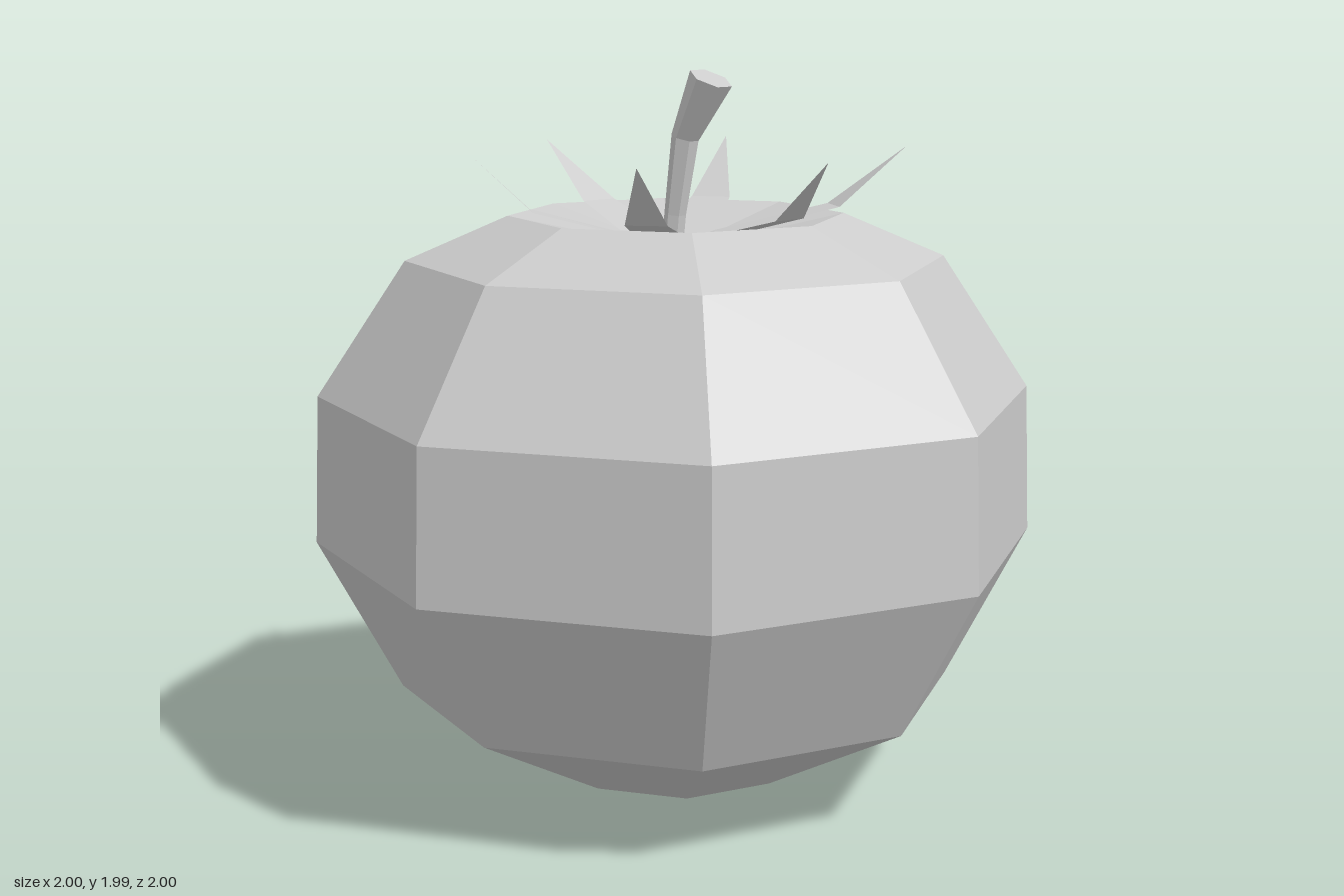
import * as THREE from 'three';

const material = new THREE.MeshStandardMaterial({ color: 0xcccccc, flatShading: true });
const leafMaterial = new THREE.MeshStandardMaterial({ color: 0xcccccc, flatShading: true, side: THREE.DoubleSide });

function makeMesh(name, triangles, mat) {
  const geometry = new THREE.BufferGeometry().setFromPoints(triangles);
  geometry.computeVertexNormals();
  const mesh = new THREE.Mesh(geometry, mat);
  mesh.name = name;
  return mesh;
}

// Eight-sided fruit with a shallow dimple on top
function makeBody() {
  const profile = [
    [0, 0], [0.335, 0.045], [0.772, 0.28], [1, 0.7],
    [0.985, 1.11], [0.74, 1.48], [0.46, 1.6], [0, 1.5],
  ].map(([r, y]) => new THREE.Vector2(r, y));
  const mesh = new THREE.Mesh(new THREE.LatheGeometry(profile, 8), material);
  mesh.name = 'fruitBody';
  return mesh;
}

// Bent six-sided stalk, flaring towards a tilted cut end
function makeStem() {
  const sections = [
    { x: -0.015, y: 1.51, r: 0.03, tilt: 0 },
    { x: -0.005, y: 1.6, r: 0.03, tilt: 0.1 },
    { x: 0.03, y: 1.81, r: 0.038, tilt: 0.28 },
    { x: 0.12, y: 1.97, r: 0.06, tilt: 0.42 },
  ];
  const rings = sections.map(({ x, y, r, tilt }) =>
    Array.from({ length: 6 }, (_, i) => {
      const a = (i * Math.PI) / 3;
      const side = r * Math.sin(a);
      return new THREE.Vector3(x + side * Math.cos(tilt), y - side * Math.sin(tilt), r * Math.cos(a));
    }));
  const tris = [];
  for (let k = 0; k < rings.length - 1; k++) {
    for (let i = 0; i < 6; i++) {
      const j = (i + 1) % 6;
      const [a, b, c, d] = [rings[k][i], rings[k][j], rings[k + 1][j], rings[k + 1][i]];
      tris.push(a, b, c, a, c, d);
    }
  }
  const top = rings[rings.length - 1];
  for (let i = 1; i < 5; i++) tris.push(top[0], top[i], top[i + 1]);
  return makeMesh('stem', tris, material);
}

// Star of six thin sepals: lying in the dimple, then turning up to a point
function makeCalyx() {
  const group = new THREE.Group();
  group.name = 'calyx';
  // [tip x, tip z, bend x, bend z]
  const sepals = [
    [0.57, 0.08, 0.41, 0.03],
    [0.31, 0.52, 0.22, 0.38],
    [-0.37, 0.43, -0.26, 0.3],
    [-0.54, -0.06, -0.33, -0.05],
    [-0.24, -0.51, -0.15, -0.33],
    [0.39, -0.53, 0.265, -0.36],
  ];
  const centre = new THREE.Vector3(0, 1.515, 0);
  const hub = sepals.map((_, i) => {
    const a = ((i * 60 - 26) * Math.PI) / 180;
    return new THREE.Vector3(0.15 * Math.cos(a), 1.545, 0.15 * Math.sin(a));
  });
  const hubTris = [];
  sepals.forEach(([tx, tz, bx, bz], i) => {
    const a = hub[i];
    const b = hub[(i + 1) % 6];
    const across = new THREE.Vector3(-bz, 0, bx).setLength(0.056);
    const bend = new THREE.Vector3(bx, 1.615, bz);
    const c = bend.clone().add(across);
    const d = bend.clone().sub(across);
    const tip = new THREE.Vector3(tx, 1.775, tz);
    group.add(makeMesh('sepal', [a, b, c, a, c, d, d, c, tip].reverse(), leafMaterial));
    hubTris.push(centre, b, a);
  });
  group.add(makeMesh('calyxHub', hubTris, leafMaterial));
  return group;
}

export function createModel() {
  const model = new THREE.Group();
  model.name = 'tomato';
  model.add(makeBody(), makeCalyx(), makeStem());
  return model;
}
